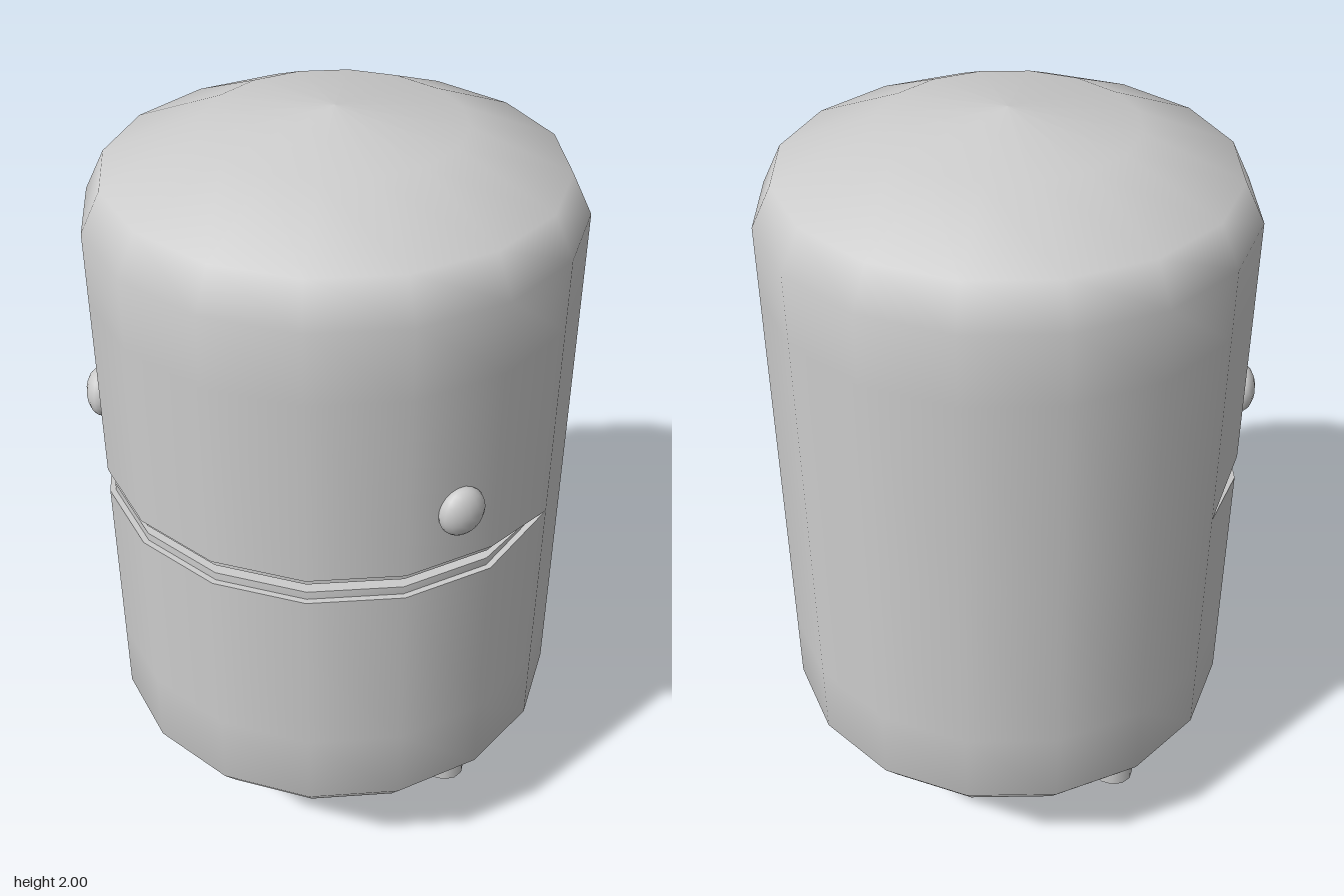
import * as THREE from 'three';
import { toCreasedNormals } from 'three/addons/utils/BufferGeometryUtils.js';

const SIDES = 16, R = 0.6, MOUTH_Y = 1.057, LIP = 0.034, SLIT = 0.012;
const material = new THREE.MeshStandardMaterial({ color: 0xcccccc });
const innerMaterial = new THREE.MeshStandardMaterial({ color: 0xcccccc, side: THREE.DoubleSide });

const points = (list) => list.map(([x, y]) => new THREE.Vector2(x, y));

function addMesh(parent, name, geometry, mat = material) {
  const mesh = new THREE.Mesh(geometry, mat);
  mesh.name = name;
  parent.add(mesh);
  return mesh;
}

// Domed barrel with a slit left open around its front half
function bodyGeometry() {
  const profile = points([
    [0, 0.225], [0.31, 0.24], [0.55, 0.28], [R, 0.345], [R, 0.55],
    [R, MOUTH_Y - LIP], [R, MOUTH_Y + LIP],
    [R, 1.58], [R, 1.76], [0.55, 1.86], [0.31, 1.96], [0, 2],
  ]);
  const rows = profile.length, lower = 5, upper = 6;
  const geo = new THREE.LatheGeometry(profile, SIDES, -Math.PI);
  const pos = geo.attributes.position;
  const first = SIDES / 4, last = SIDES * 3 / 4;

  // Pinch the slit shut at its corners and behind them
  for (let i = 0; i <= SIDES; i++) {
    if (i > first && i < last) continue;
    pos.setY(i * rows + lower, MOUTH_Y);
    pos.setY(i * rows + upper, MOUTH_Y);
  }
  // Drop the faces between the two lip rows
  const kept = [], index = geo.index.array;
  for (let t = 0; t < index.length; t += 3) {
    const tri = [index[t], index[t + 1], index[t + 2]];
    if (tri.every((v) => v % rows === lower || v % rows === upper)) continue;
    kept.push(...tri);
  }
  geo.setIndex(kept);
  return geo;
}

// Stepped lips that lead into a flat pocket, tapering to the corners
function mouthGeometry() {
  const half = [[R, LIP], [0.585, LIP], [0.585, SLIT], [0.585, SLIT], [0.585, 0]];
  const full = [...half, ...half.slice(0, 4).reverse().map(([r, y]) => [r, -y])];
  const depth = [9, 9, 9, 0.22, 0, 0.22, 9, 9, 9]; // furthest forward z of each row
  const rows = full.length, columns = SIDES / 2;
  const geo = new THREE.LatheGeometry(points(full), columns, -Math.PI / 2, Math.PI);
  const pos = geo.attributes.position;
  for (let i = 0; i <= columns; i++) {
    const open = i === 0 || i === columns ? 0 : 1;
    for (let j = 0; j < rows; j++) {
      const v = i * rows + j;
      pos.setY(v, MOUTH_Y + open * full[j][1]);
      pos.setZ(v, Math.min(pos.getZ(v), depth[j]));
    }
  }
  return toCreasedNormals(geo, 0.6);
}

export function createModel() {
  const model = new THREE.Group();
  model.name = 'barrelCreature';

  addMesh(model, 'body', bodyGeometry());
  addMesh(model, 'mouth', mouthGeometry(), innerMaterial);

  for (const [side, s] of [['left', 1], ['right', -1]]) {
    // Flattened eye facing outward from the body
    const eye = addMesh(model, side + 'Eye', new THREE.SphereGeometry(1, 16, 12));
    eye.scale.set(0.06, 0.064, 0.038);
    eye.position.set(s * 0.506, 1.24, 0.315);
    eye.rotation.y = s * Math.atan2(0.506, 0.315);

    // Short leg reaching up into the body
    const leg = addMesh(model, side + 'Leg', new THREE.CylinderGeometry(0.062, 0.062, 0.26, 12));
    leg.scale.z = 0.92;
    leg.position.set(s * 0.366, 0.13, 0);
  }
  return model;
}
